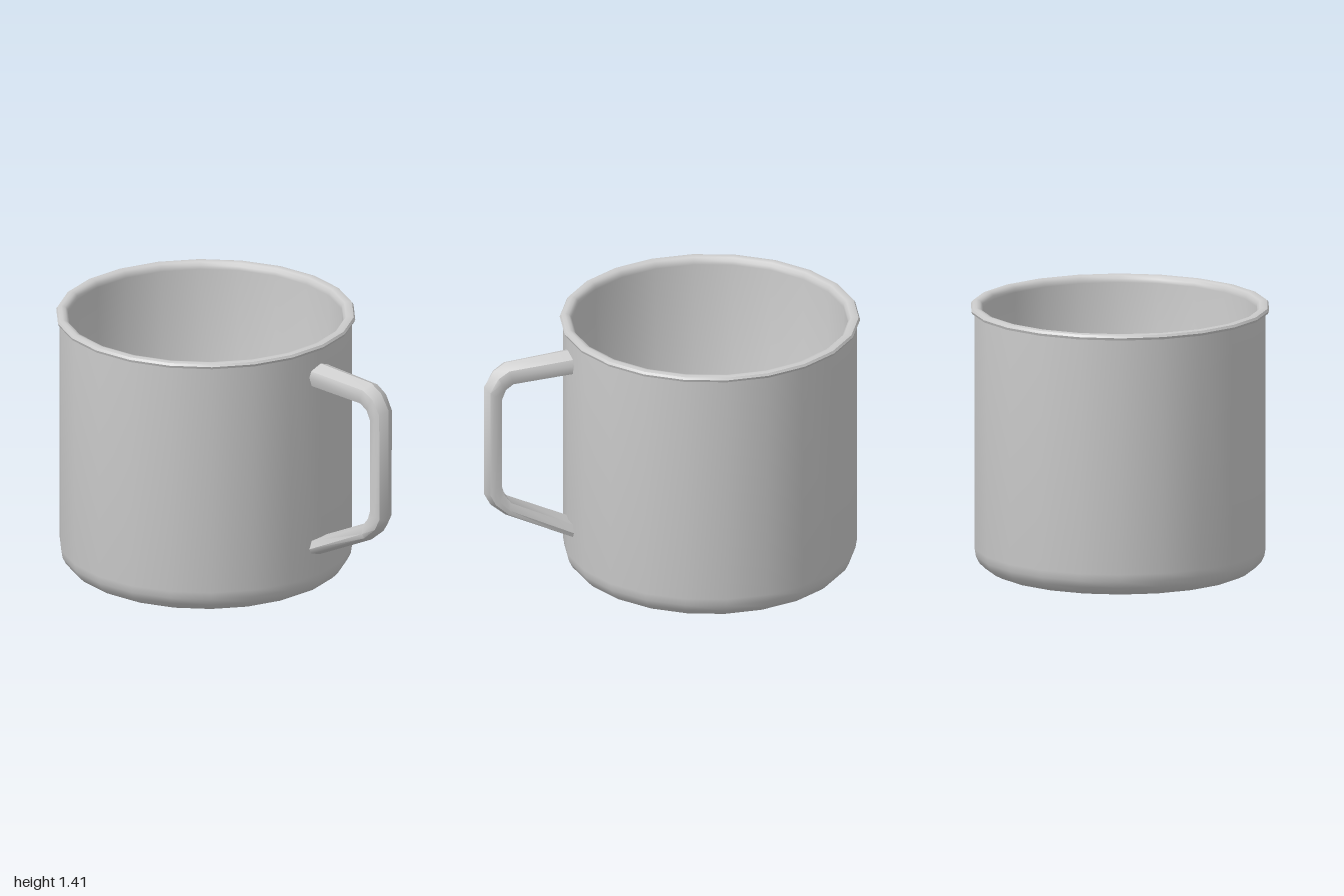
import * as THREE from 'three';
import { toCreasedNormals } from 'three/addons/utils/BufferGeometryUtils.js';

const SIDES = 22;
const CUP_X = -0.2175;

function material() {
  return new THREE.MeshStandardMaterial({ color: 0xcccccc, side: THREE.DoubleSide });
}

// Revolve a radius/height profile around the cup's axis
function revolve(name, profile) {
  const points = profile.map(([r, y]) => new THREE.Vector2(r, y));
  const geometry = new THREE.LatheGeometry(points, SIDES, Math.PI / 2);
  const mesh = new THREE.Mesh(toCreasedNormals(geometry, 0.7), material());
  mesh.name = name;
  mesh.position.x = CUP_X;
  return mesh;
}

// Quarter-round corner between the flat base (r - c) and the wall (r)
function corner(r, y, c, steps) {
  const points = [];
  for (let i = 0; i <= steps; i++) {
    const a = (i / steps) * Math.PI / 2;
    points.push([r - c + c * Math.sin(a), y + c - c * Math.cos(a)]);
  }
  return points;
}

// Loft the handle: each station is [inner x, inner y, outer x, outer y, half width]
function handle() {
  const stations = [
    [0.53, 1.19, 0.53, 1.3, 0.08],
    [0.855, 1.165, 0.885, 1.268, 0.07],
    [0.895, 1.135, 0.95, 1.225, 0.067],
    [0.915, 1.08, 1.0, 1.14, 0.062],
    [0.915, 0.58, 1.0, 0.53, 0.06],
    [0.9, 0.53, 0.965, 0.465, 0.062],
    [0.865, 0.483, 0.885, 0.398, 0.065],
    [0.53, 0.323, 0.53, 0.23, 0.08],
  ];
  // Cross-section: [sideways, inner-to-outer], a ridge outside and a flat inside
  const section = [[0, 1], [0.85, 0.75], [1, 0.45], [0.8, 0], [-0.8, 0], [-1, 0.45], [-0.85, 0.75]];
  const n = section.length;
  const positions = [], index = [];
  stations.forEach(([ix, iy, ox, oy, w], i) => {
    section.forEach(([s, t], j) => {
      positions.push(ix + (ox - ix) * t, iy + (oy - iy) * t, s * w);
      if (i === stations.length - 1) return;
      const a = i * n + j, d = i * n + (j + 1) % n;
      index.push(a, d, d + n, a, d + n, a + n);
    });
  });
  const geometry = new THREE.BufferGeometry();
  geometry.setAttribute('position', new THREE.Float32BufferAttribute(positions, 3));
  geometry.setIndex(index);
  const mesh = new THREE.Mesh(toCreasedNormals(geometry, 0.75), material());
  mesh.name = 'handle';
  return mesh;
}

export function createModel() {
  const mug = new THREE.Group();
  mug.name = 'mug';

  // Outer wall with rounded base, rolled lip, inner wall and floor
  mug.add(revolve('cupBody', [
    [0, 0],
    ...corner(0.765, 0, 0.13, 5),
    [0.765, 1.378],
    [0.778, 1.38], [0.7825, 1.393], [0.775, 1.405],
    [0.755, 1.41], [0.735, 1.405], [0.722, 1.39],
    [0.72, 1.37],
    ...corner(0.72, 0.05, 0.04, 2).reverse(),
    [0, 0.05],
  ]));
  mug.add(handle());
  return mug;
}
